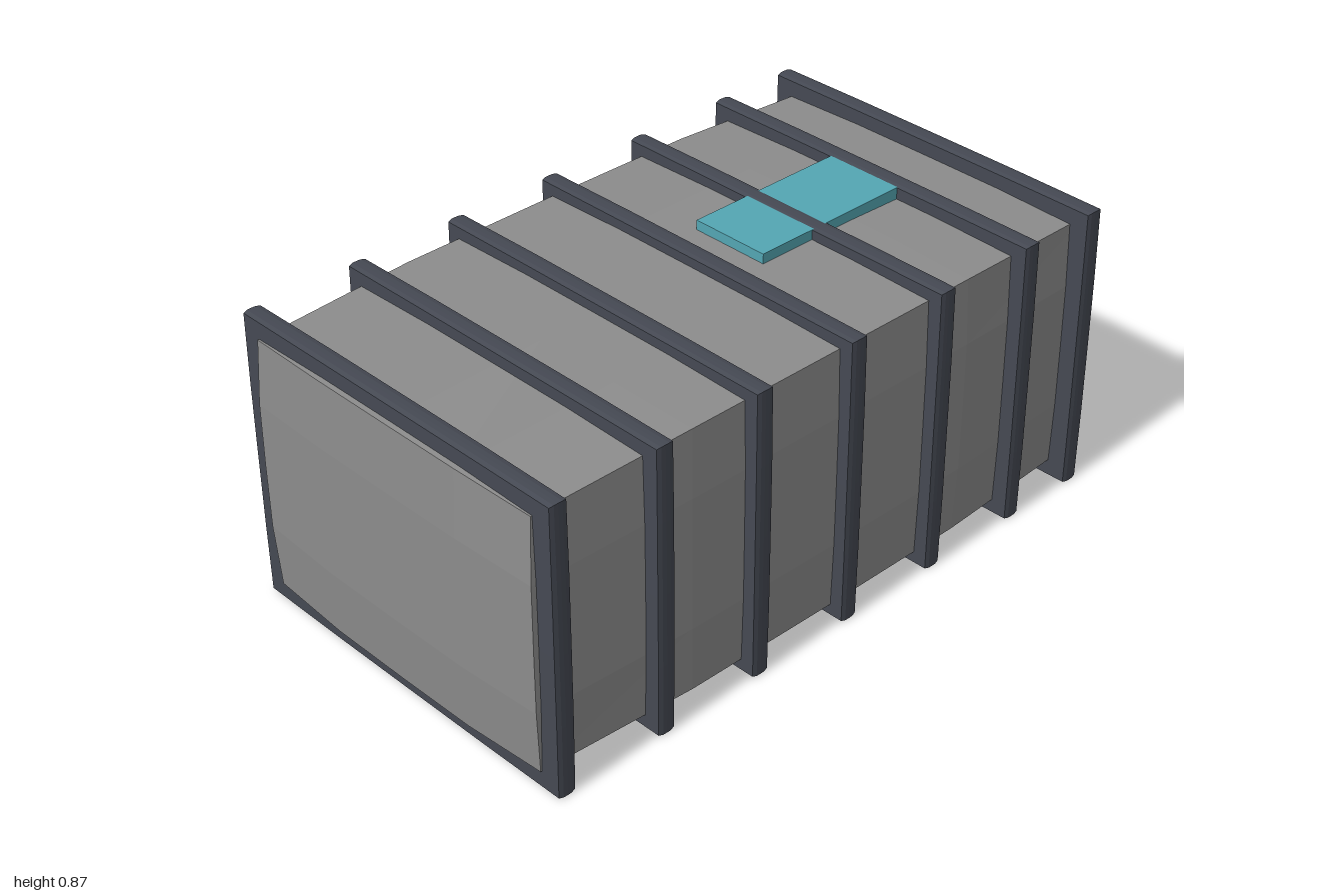
import * as THREE from 'three';

// Bulge weight: 1 in the middle of a side, 0 at its edges
const swell = (t) => (Math.abs(t) > 0.75 ? 0 : Math.abs(t) > 0.25 ? 0.92 : 1);

// Box whose six sides bulge outwards. half: half sizes at the corners;
// grow[axis]: extra half size driven by each of the three axes.
function bulgedBox(half, grow) {
  const indexed = new THREE.BoxGeometry(2, 2, 2, 4, 4, 4);
  const pos = indexed.attributes.position;
  for (let i = 0; i < pos.count; i++) {
    const t = [pos.getX(i), pos.getY(i), pos.getZ(i)];
    const p = t.map((v, a) =>
      v * (half[a] + t.reduce((sum, u, b) => sum + grow[a][b] * swell(u), 0)));
    pos.setXYZ(i, p[0], p[1], p[2]);
  }
  // Separate faces give crisp facets
  const geometry = indexed.toNonIndexed();
  geometry.computeVertexNormals();
  return geometry;
}

export function createModel() {
  const group = new THREE.Group();
  const shellGrey = new THREE.MeshStandardMaterial({ color: 0x8c8c8c });
  shellGrey.name = 'shellGrey';
  const bandSlate = new THREE.MeshStandardMaterial({ color: 0x454953 });
  bandSlate.name = 'bandSlate';
  const panelTeal = new THREE.MeshStandardMaterial({ color: 0x54a6b3 });
  panelTeal.name = 'panelTeal';

  const add = (name, geometry, material, x, y, z) => {
    const mesh = new THREE.Mesh(geometry, material);
    mesh.name = name;
    mesh.position.set(x, y, z);
    group.add(mesh);
  };
  const midY = 0.433;

  // Main container body
  add('body', bulgedBox([0.976, 0.378, 0.512],
    [[0, 0.012, 0.012], [0.017, 0, 0.008], [0.018, 0.006, 0]]), shellGrey, 0, midY, 0);

  // Reinforcing bands, slightly crowned
  const band = bulgedBox([0.026, 0.428, 0.57],
    [[0, 0.001, 0.001], [0.003, 0, 0.002], [0.003, 0.002, 0]]);
  [-0.945, -0.617, -0.29, 0.037, 0.363, 0.69, 0.941].forEach((x, i) =>
    add(`band${i + 1}`, band, bandSlate, x, midY, 0));

  // Panel on the roof
  add('roofPanel', new THREE.BoxGeometry(0.51, 0.045, 0.245), panelTeal, 0.41, 0.8418, 0);

  return group;
}
